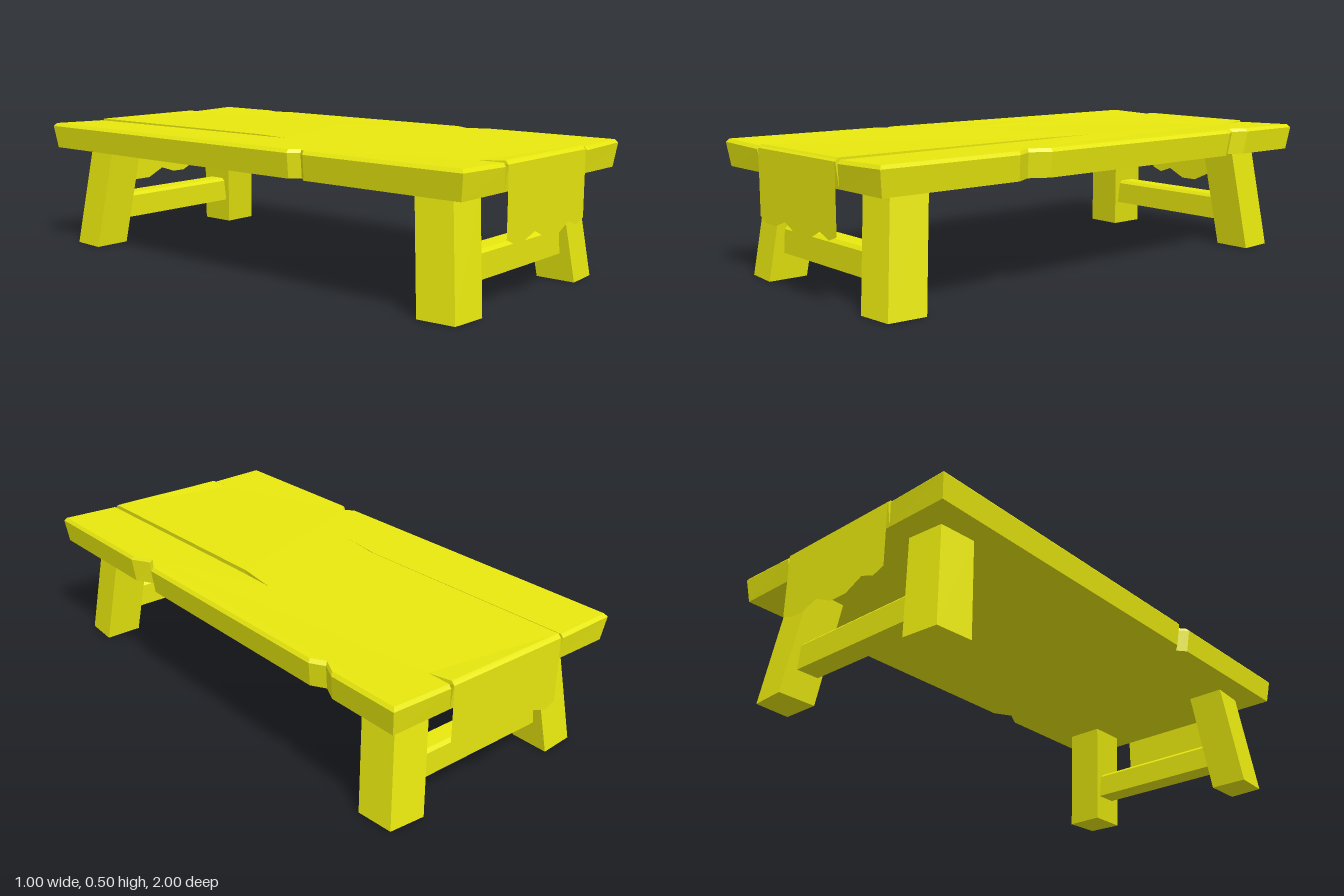
import * as THREE from 'three';

const material = new THREE.MeshStandardMaterial({ color: 0xe8e80f, flatShading: true, side: THREE.DoubleSide });

function meshFrom(name, positions) {
  const g = new THREE.BufferGeometry();
  g.setAttribute('position', new THREE.Float32BufferAttribute(positions.flat(), 3));
  g.computeVertexNormals();
  const m = new THREE.Mesh(g, material);
  m.name = name;
  return m;
}

// Joins rings of [x, y, z] points (bottom to top, counterclockwise from above).
function wallsBetween(rings, out) {
  for (let k = 0; k + 1 < rings.length; k++) {
    const lo = rings[k], hi = rings[k + 1], n = lo.length;
    for (let i = 0; i < n; i++) {
      const j = (i + 1) % n;
      out.push(lo[i], lo[j], hi[j], lo[i], hi[j], hi[i]);
    }
  }
}

function cap(ring, up, out) {
  const flat = ring.map(([x, , z]) => new THREE.Vector2(x, -z));
  for (const [a, b, c] of THREE.ShapeUtils.triangulateShape(flat, [])) {
    out.push(ring[a], ring[up ? b : c], ring[up ? c : b]);
  }
}

// Table top: chipped outline with tapering cracks. Third value marks a crack
// point: 1 = on the middle board, 2 = on the sunken edge of an outer board.
const outline = [
  [-0.5, 1], [-0.262, 1, 2], [-0.262, 0.91, 2], [-0.25, 1, 1],
  [0.25, 1, 1], [0.238, 0.08, 1], [0.26, -0.09, 1], [0.25, 0.08, 2], [0.263, 1, 2],
  [0.5, 1], [0.5, 0.46], [0.46, 0.39], [0.5, 0.32],
  [0.5, -0.61], [0.47, -0.66], [0.5, -0.72], [0.5, -1],
  [0.262, -1, 2], [0.262, -0.91, 2], [0.25, -1, 1],
  [-0.25, -1, 1], [-0.238, -0.09, 1], [-0.262, 0.08, 1], [-0.25, -0.09, 2], [-0.263, -1, 2],
  [-0.5, -1], [-0.5, 0.3], [-0.47, 0.335], [-0.5, 0.37],
];

function tableTop() {
  const levels = [[0.4, 0.012], [0.488, 0], [0.5, 0.01]];
  const rings = levels.map(([y, inset], k) => outline.map(([x, z, crack]) => [
    crack ? (k === 0 ? Math.sign(x) * 0.25 : x) : x * (1 - inset / 0.5),
    crack === 2 && k > 0 ? y - 0.006 : y,
    z * (0.998 - inset),
  ]));
  const out = [];
  wallsBetween(rings, out);
  cap(rings[2], true, out);
  cap(rings[0].filter((p, i) => !outline[i][2]), false, out);
  return meshFrom('tableTop', out);
}

// Splayed leg: a slightly skewed square section leaning inwards.
function leg(sx, sz) {
  const section = [[0.3, 0.95], [0.437, 0.94], [0.447, 0.8], [0.3, 0.8]];
  const ring = (y, lean) => {
    const r = section.map(([x, z]) => [sx * (x - lean), y, sz * (z - lean)]);
    return sx * sz < 0 ? r.reverse() : r;
  };
  const rings = [ring(0, 0), ring(0.405, 0.05)];
  const out = [];
  wallsBetween(rings, out);
  cap(rings[0], false, out);
  cap(rings[1], true, out);
  return meshFrom('leg', out);
}

// Cross bar between two legs, with the top edges chamfered.
function stretcher() {
  const s = new THREE.Shape([[-0.045, 0.1], [0.045, 0.1], [0.045, 0.188],
    [0.034, 0.2], [-0.034, 0.2], [-0.045, 0.188]].map(p => new THREE.Vector2(...p)));
  const g = new THREE.ExtrudeGeometry(s, { depth: 0.62, bevelEnabled: false });
  g.translate(0, 0, -0.31).rotateY(Math.PI / 2);
  const m = new THREE.Mesh(g, material);
  m.name = 'stretcher';
  return m;
}

// Thin cloth hanging over the end, with a ragged hem.
function clothEnd() {
  const hem = [[-0.25, 0.25], [-0.205, 0.23], [-0.145, 0.23], [-0.077, 0.253],
    [0, 0.217], [0.073, 0.217], [0.147, 0.253], [0.203, 0.233], [0.25, 0.25]];
  const out = [];
  for (let i = 0; i + 1 < hem.length; i++) {
    const column = ([x, y]) => [[x, y, 1], [x, 0.488, 1], [x, 0.5005, 0.986]];
    const a = column(hem[i]), b = column(hem[i + 1]);
    for (let k = 0; k < 2; k++) out.push(a[k], b[k], b[k + 1], a[k], b[k + 1], a[k + 1]);
  }
  return meshFrom('hangingCloth', out);
}

export function createModel() {
  const table = new THREE.Group();
  table.name = 'table';
  table.add(tableTop());
  for (const sz of [1, -1]) {
    for (const sx of [1, -1]) table.add(leg(sx, sz));
    const bar = stretcher();
    bar.position.z = sz * 0.85;
    const cloth = clothEnd();
    if (sz < 0) cloth.rotation.y = Math.PI;
    table.add(bar, cloth);
  }
  return table;
}
